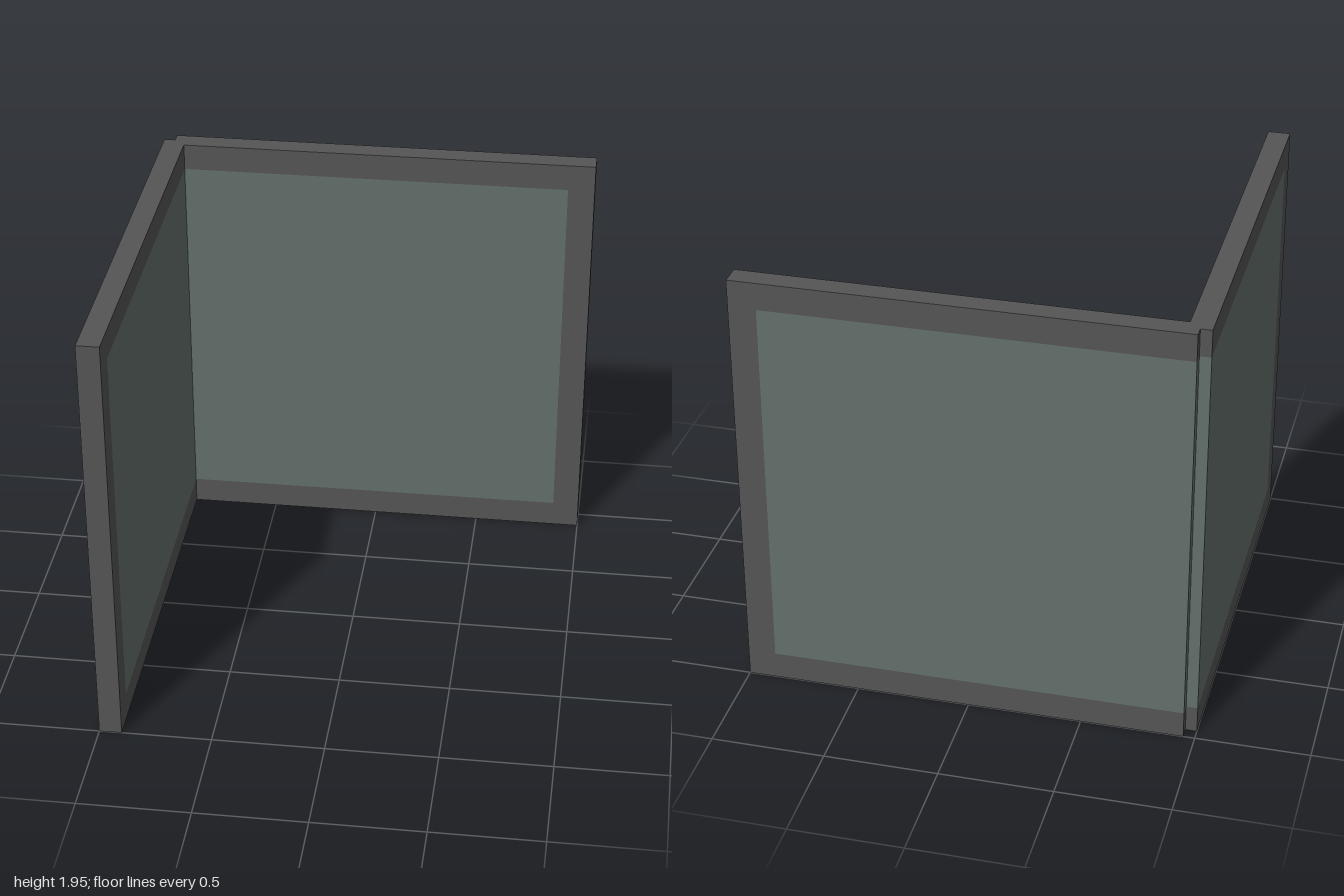
import * as THREE from 'three';

const LENGTH = 1.95, HEIGHT = 1.95, DEPTH = 0.1, RAIL = 0.122;

const frameMaterial = new THREE.MeshStandardMaterial({ color: 0x555555 });
const paneMaterial = new THREE.MeshStandardMaterial({ color: 0x63706c });

// One screen panel running along +x from its corner end, centred on z = 0
function createPanel(name) {
  const panel = new THREE.Group();
  panel.name = name;

  // C-shaped frame: bottom rail, outer stile, top rail; open at the corner end
  const outline = new THREE.Shape([
    [0, 0], [LENGTH, 0], [LENGTH, HEIGHT], [0, HEIGHT],
    [0, HEIGHT - RAIL], [LENGTH - RAIL, HEIGHT - RAIL],
    [LENGTH - RAIL, RAIL], [0, RAIL],
  ].map(([x, y]) => new THREE.Vector2(x, y)));
  const frameGeometry = new THREE.ExtrudeGeometry(outline, { depth: DEPTH, bevelEnabled: false });
  frameGeometry.translate(0, 0, -DEPTH / 2);
  const frame = new THREE.Mesh(frameGeometry, frameMaterial);
  frame.name = 'frame';

  // Pane flush with the frame on both faces
  const paneGeometry = new THREE.BoxGeometry(LENGTH - RAIL, HEIGHT - 2 * RAIL, DEPTH);
  const pane = new THREE.Mesh(paneGeometry, paneMaterial);
  pane.name = 'pane';
  pane.position.set((LENGTH - RAIL) / 2, HEIGHT / 2, 0);

  panel.add(frame, pane);
  return panel;
}

export function createModel() {
  const model = new THREE.Group();
  model.name = 'cornerScreen';

  const backPanel = createPanel('backPanel');
  backPanel.position.set(-0.95, 0, -0.95);

  // Same panel turned to run towards the front
  const sidePanel = createPanel('sidePanel');
  sidePanel.rotation.y = -Math.PI / 2;
  sidePanel.position.set(-0.95, 0, -0.95);

  model.add(backPanel, sidePanel);
  return model;
}
